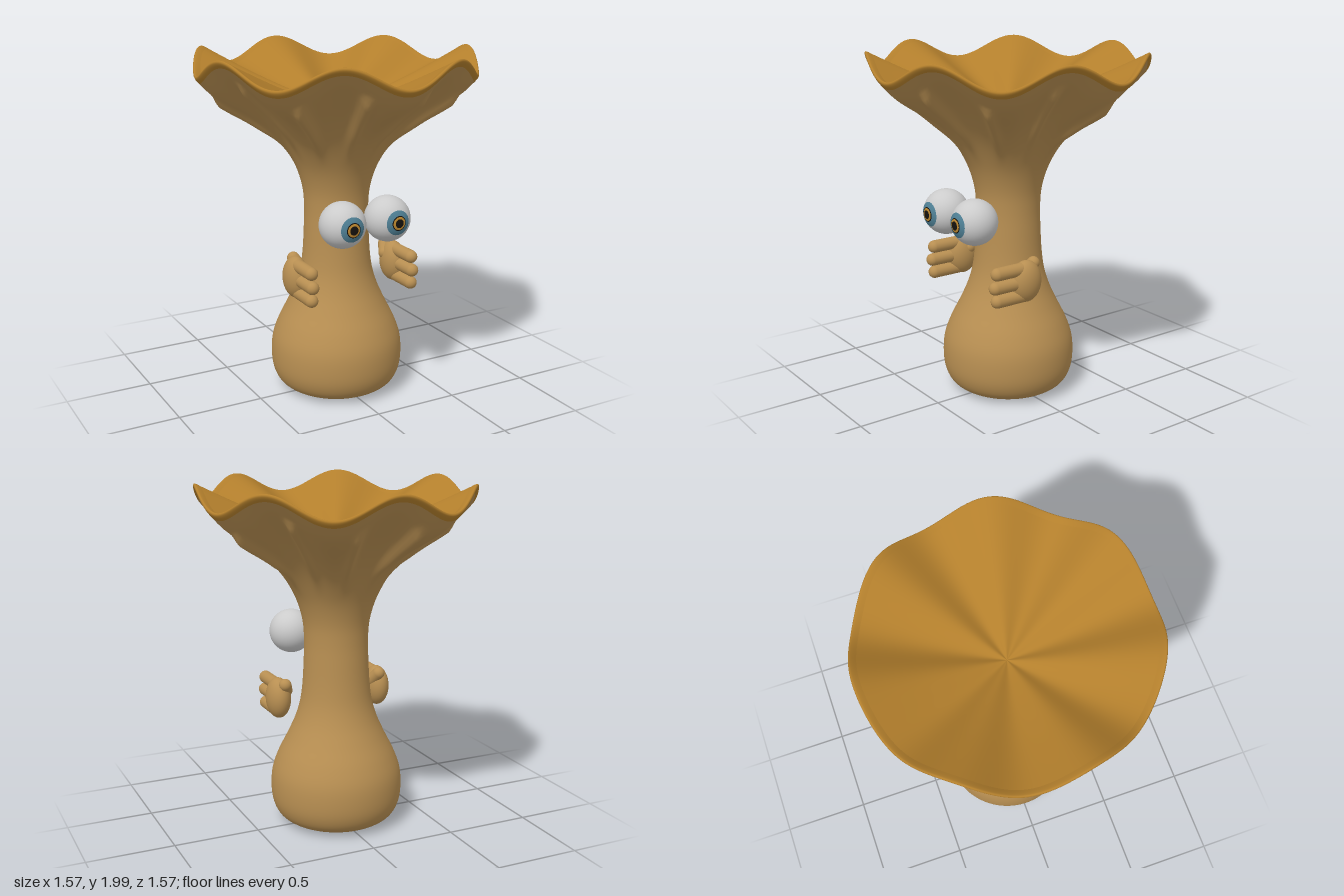
import * as THREE from 'three';

const WAVES = 7, RIBS = 12, SEGMENTS = 288, RIM = 0.785;
const smooth = THREE.MathUtils.smoothstep;
const mat = (color) => new THREE.MeshStandardMaterial({ color });
const skin = mat(0xb88f52), capSkin = mat(0xb37f2c);
const white = mat(0xcccccc), blue = mat(0x4f8095), gold = mat(0xc08a30), black = mat(0x15120e);

function add(parent, name, geometry, material) {
  const mesh = new THREE.Mesh(geometry, material);
  mesh.name = name;
  parent.add(mesh);
  return mesh;
}

// Turns [radius, height] points round the y axis; shift(r, y, angle) moves the height
function sweep(points, divisions, shift) {
  const profile = new THREE.SplineCurve(points.map(([r, y]) => new THREE.Vector2(r, y))).getPoints(divisions);
  const positions = [], index = [];
  profile.forEach((p, i) => {
    for (let j = 0; j < SEGMENTS; j++) {
      const a = (j / SEGMENTS) * Math.PI * 2, r = Math.max(p.x, 0.0005);
      positions.push(r * Math.sin(a), p.y + shift(r, p.y, a), r * Math.cos(a));
      if (i === 0) continue;
      const n = (j + 1) % SEGMENTS, low = (i - 1) * SEGMENTS, high = i * SEGMENTS;
      index.push(low + j, low + n, high + n, low + j, high + n, high + j);
    }
  });
  const geometry = new THREE.BufferGeometry();
  geometry.setAttribute('position', new THREE.Float32BufferAttribute(positions, 3));
  geometry.setIndex(index);
  geometry.computeVertexNormals();
  return geometry;
}

const wave = (a) => -0.06 * Math.cos(WAVES * a);

// Rounded ribs under the cap, fading into the neck and ending before the rim
function rib(r, a) {
  const step = (Math.PI * 2) / RIBS;
  const side = r * (a - (Math.floor(a / step) + 0.5) * step);
  const length = smooth(r, 0.24, 0.45) * (1 - smooth(r, 0.655, 0.70));
  return -0.045 * length * Math.exp(-((side / 0.03) ** 2));
}

function outerShift(r, y, a) {
  if (y < 1.2) return 0;
  return wave(a) * smooth(r, 0.18, 0.74) + rib(r, a);
}

function addEye(parent, x) {
  const eye = new THREE.Group();
  eye.name = x > 0 ? 'leftEye' : 'rightEye';
  eye.position.set(x, 1.09, 0.33);
  add(eye, 'eyeball', new THREE.SphereGeometry(0.13, 40, 28), white);
  // Stacked caps facing forward
  [['iris', 0.07, blue], ['irisEdge', 0.042, black], ['innerIris', 0.037, gold], ['pupil', 0.025, black]]
    .forEach(([name, radius, material], i) => {
      const R = 0.1312 + i * 0.0008;
      const cap = new THREE.SphereGeometry(R, 36, 10, 0, Math.PI * 2, 0, Math.asin(radius / R));
      add(eye, name, cap.rotateX(Math.PI / 2), material);
    });
  parent.add(eye);
}

// Capsule between two points, rounded ends included beyond them
function capsule(parent, name, from, to, radius) {
  const a = new THREE.Vector3(...from), b = new THREE.Vector3(...to);
  const direction = b.clone().sub(a);
  const mesh = add(parent, name, new THREE.CapsuleGeometry(radius, direction.length(), 10, 24), skin);
  mesh.position.copy(a).add(b).multiplyScalar(0.5);
  mesh.quaternion.setFromUnitVectors(new THREE.Vector3(0, 1, 0), direction.normalize());
}

function addHand(parent, side) {
  const hand = new THREE.Group();
  hand.name = side > 0 ? 'leftHand' : 'rightHand';
  const palm = add(hand, 'palm', new THREE.SphereGeometry(1, 36, 24), skin);
  palm.scale.set(0.07, 0.12, 0.095);
  palm.position.set(side * 0.318, 0.755, 0.11);
  [[0.83, 0.305], [0.752, 0.318], [0.674, 0.305]].forEach(([y, tip]) =>
    capsule(hand, 'finger', [side * 0.32, y, 0.12], [side * 0.32, y, tip], 0.037));
  capsule(hand, 'thumb', [side * 0.278, 0.80, 0.085], [side * 0.30, 0.845, 0.045], 0.036);
  parent.add(hand);
}

export function createModel() {
  const model = new THREE.Group();
  model.name = 'mushroom';

  // Bulbous foot, slim neck and flaring underside
  add(model, 'stem', sweep([
    [0, 0.01], [0.12, 0.006], [0.22, 0.003], [0.28, 0.018], [0.34, 0.06], [0.374, 0.13], [0.384, 0.22],
    [0.375, 0.32], [0.34, 0.42], [0.285, 0.53], [0.24, 0.63], [0.21, 0.73], [0.195, 0.84],
    [0.187, 0.98], [0.184, 1.1], [0.192, 1.21], [0.222, 1.32], [0.27, 1.42], [0.335, 1.52],
    [0.415, 1.61], [0.51, 1.69], [0.61, 1.762], [0.70, 1.83], [0.765, 1.895],
  ], 120, outerShift), skin);

  // Rolled wavy lip
  add(model, 'rim', sweep([
    [0.765, 1.895], [0.779, 1.912], [RIM, 1.926], [0.779, 1.936], [0.765, 1.932], [0.745, 1.921],
  ], 20, (r, y, a) => wave(a)), capSkin);

  // Shallow pleated funnel on top
  add(model, 'capTop', sweep([
    [0.745, 1.921], [0.6, 1.862], [0.45, 1.805], [0.3, 1.755], [0.15, 1.712], [0.05, 1.688], [0, 1.68],
  ], 40, (r, y, a) => wave(a) * Math.min(1, r / 0.745)), capSkin);

  for (const side of [-1, 1]) {
    addEye(model, side * 0.142);
    addHand(model, side);
  }
  return model;
}
